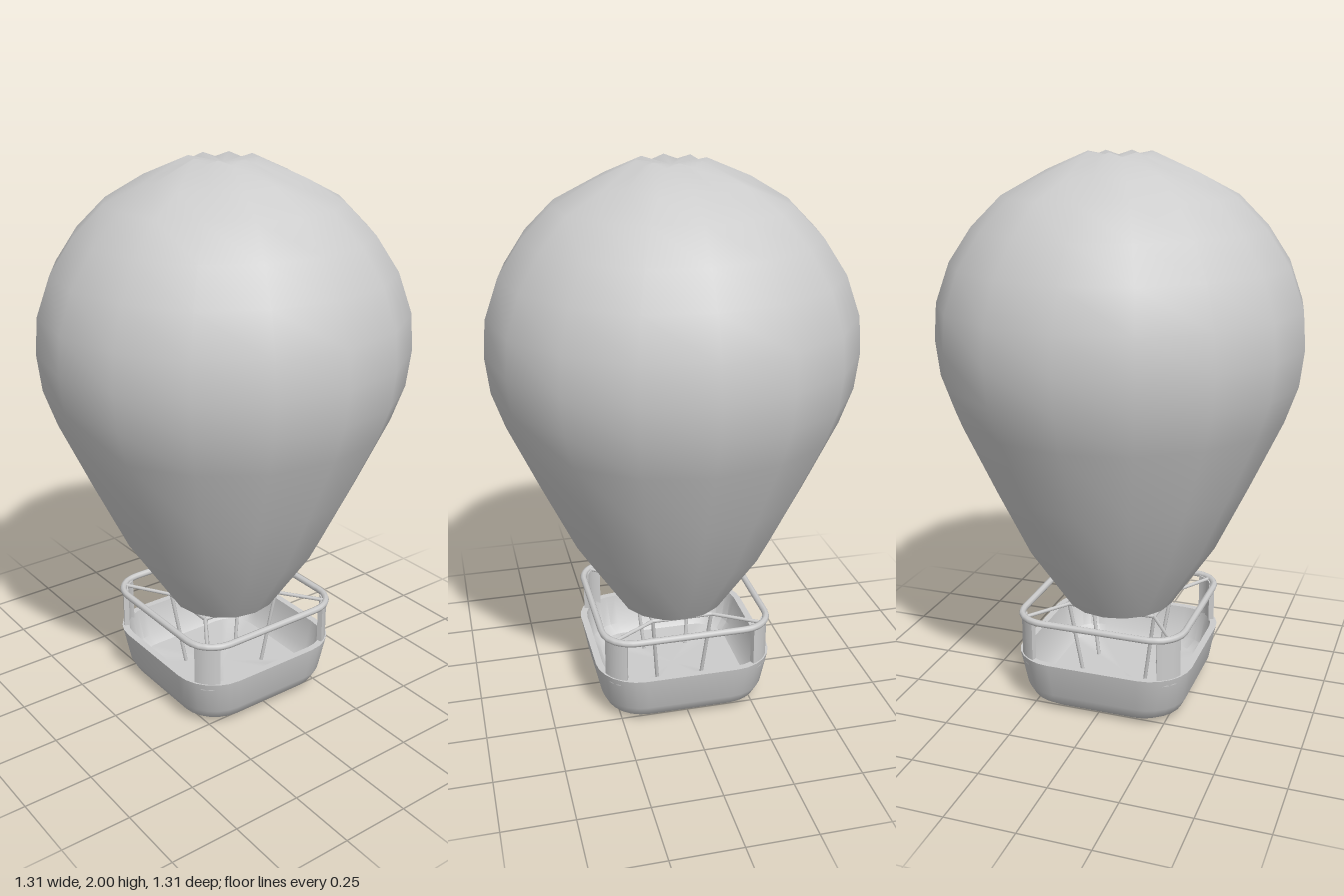
import * as THREE from 'three';
import { toCreasedNormals } from 'three/addons/utils/BufferGeometryUtils.js';

const grey = new THREE.MeshStandardMaterial({ color: 0xcccccc, side: THREE.DoubleSide });
grey.name = 'plain grey';

function add(group, geometry, name) {
  const mesh = new THREE.Mesh(geometry, grey);
  mesh.name = name;
  group.add(mesh);
  return mesh;
}

// Points around a square with rounded corners, in the x-z plane
function roundedSquare(half, radius, y, steps = 6) {
  const points = [];
  for (let k = 0; k < 4; k++) {
    const mid = Math.PI / 4 + k * Math.PI / 2;
    const cx = Math.sign(Math.cos(mid)) * (half - radius);
    const cz = Math.sign(Math.sin(mid)) * (half - radius);
    for (let i = 0; i <= steps; i++) {
      const a = (k + i / steps) * Math.PI / 2;
      points.push(new THREE.Vector3(cx + radius * Math.cos(a), y, cz + radius * Math.sin(a)));
    }
  }
  return points;
}

// Skin joining a stack of rings with equal point counts
function loft(rings, crease) {
  const n = rings[0].length, index = [];
  for (let j = 0; j < rings.length - 1; j++) {
    for (let i = 0; i < n; i++) {
      const a = j * n + i, b = j * n + (i + 1) % n;
      index.push(a, a + n, b, b, a + n, b + n);
    }
  }
  const geometry = new THREE.BufferGeometry().setFromPoints(rings.flat());
  geometry.setIndex(index);
  return toCreasedNormals(geometry, crease);
}

// Straight round bar between two points
function bar(group, from, to, radius, name) {
  const geometry = new THREE.CylinderGeometry(radius, radius, from.distanceTo(to), 8);
  const mesh = add(group, geometry, name);
  mesh.position.copy(from).lerp(to, 0.5);
  mesh.quaternion.setFromUnitVectors(new THREE.Vector3(0, 1, 0), to.clone().sub(from).normalize());
}

// Sixteen-sided envelope with a gathered crown
function envelope() {
  const profile = [
    [0.2, 0.36], [0.36, 0.6], [0.48, 0.85], [0.595, 1.1], [0.64, 1.23], [0.655, 1.36],
    [0.645, 1.49], [0.595, 1.63], [0.515, 1.75], [0.41, 1.855], [0.275, 1.935], [0.12, 2], [0, 1.98],
  ].map(([r, y]) => new THREE.Vector2(r, y));
  const geometry = new THREE.LatheGeometry(profile, 16);
  const p = geometry.attributes.position;
  for (let i = 0; i < p.count; i++) {
    const r = Math.hypot(p.getX(i), p.getZ(i));
    if (p.getY(i) < 1.9 || r < 0.01) continue;
    const wave = Math.cos(8 * Math.atan2(p.getX(i), p.getZ(i)));
    p.setY(i, p.getY(i) - 0.008 * (1 - wave));
  }
  return toCreasedNormals(geometry, Math.PI);
}

export function createModel() {
  const model = new THREE.Group();
  model.name = 'hotAirBalloon';
  add(model, envelope(), 'envelope');

  // Hollow basket: up the outside, over the rim, down to the floor
  const section = [
    [0.001, 0.0005, 0], [0.22, 0.1, 0], [0.258, 0.12, 0.008], [0.287, 0.135, 0.03],
    [0.307, 0.148, 0.07], [0.33, 0.16, 0.2], [0.305, 0.135, 0.2],
    [0.285, 0.125, 0.08], [0.255, 0.11, 0.05], [0.001, 0.0005, 0.05],
  ];
  add(model, loft(section.map(([h, r, y]) => roundedSquare(h, r, y)), 0.7), 'basket');

  // Handrail
  const railY = 0.354;
  const outline = roundedSquare(0.31, 0.11, railY);
  const railPath = new THREE.CurvePath();
  outline.forEach((p, i) => railPath.add(new THREE.LineCurve3(p, outline[(i + 1) % outline.length])));
  add(model, new THREE.TubeGeometry(railPath, 140, 0.0125, 8, true), 'handrail');

  // Curved corner panels holding up the handrail
  const shape = new THREE.Shape();
  const start = Math.PI * 0.11, end = Math.PI * 0.39;
  shape.absarc(0, 0, 0.112, start, end, false);
  shape.absarc(0, 0, 0.092, end, start, true);
  const panel = new THREE.ExtrudeGeometry(shape, { depth: 0.18, bevelEnabled: false, curveSegments: 8 });
  panel.rotateX(Math.PI / 2).translate(0.2, railY, 0.2);
  for (let k = 0; k < 4; k++) {
    add(model, panel, 'cornerPanel').rotation.y = k * Math.PI / 2;
  }

  // Burner frame: leaning struts, top bars and diagonal stays to the corners
  const corners = [[1, 1], [-1, 1], [-1, -1], [1, -1]];
  const tops = corners.map(([sx, sz]) => new THREE.Vector3(sx * 0.167, 0.35, sz * 0.112));
  corners.forEach(([sx, sz], i) => {
    bar(model, tops[i], new THREE.Vector3(sx * 0.122, 0.05, sz * 0.085), 0.007, 'strut');
    bar(model, tops[i], tops[(i + 1) % 4], 0.008, 'frameBar');
    bar(model, tops[i], new THREE.Vector3(sx * 0.275, railY, sz * 0.275), 0.007, 'stay');
  });
  return model;
}
